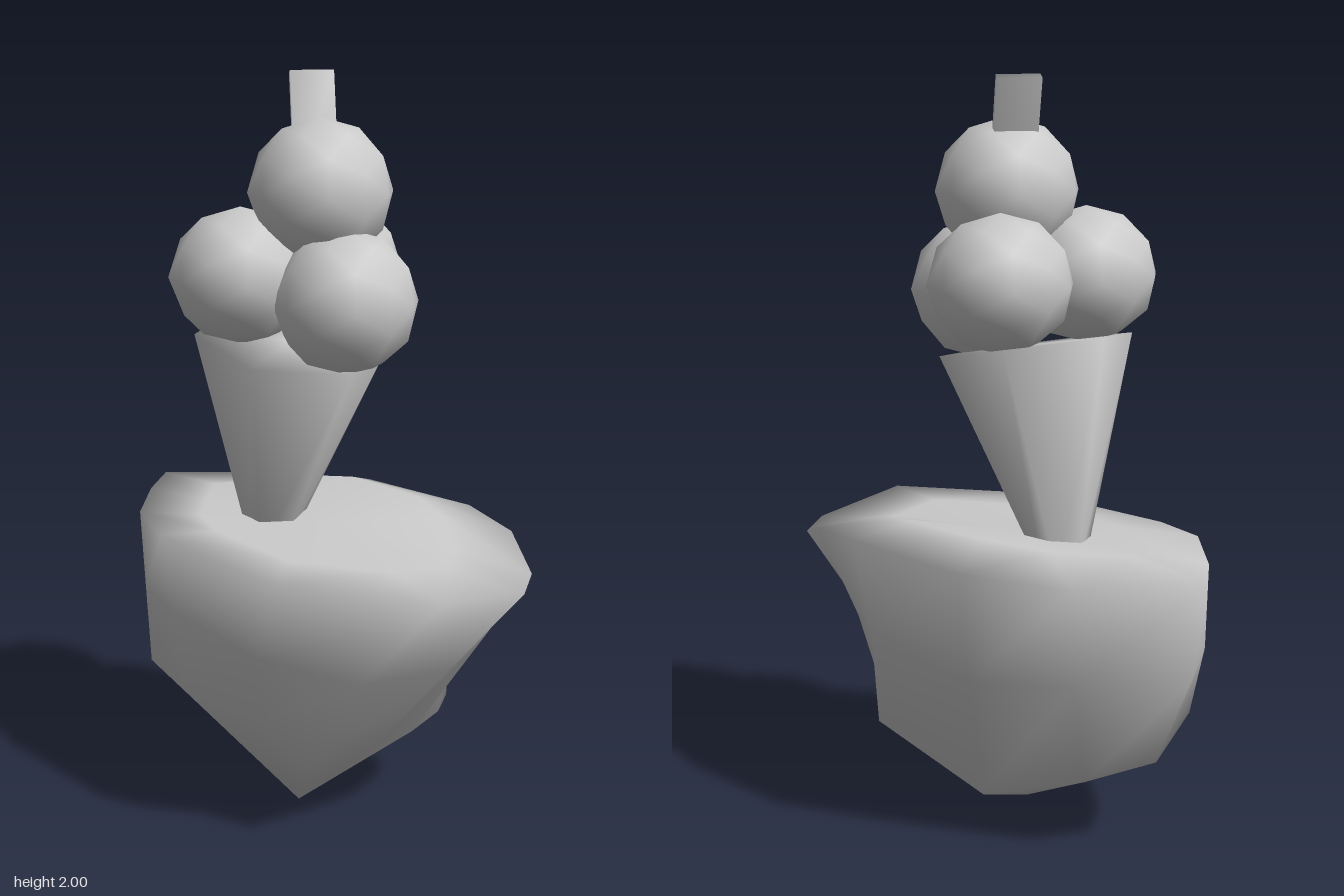
import * as THREE from 'three';
import { mergeVertices } from 'three/addons/utils/BufferGeometryUtils.js';

const material = new THREE.MeshStandardMaterial({ color: 0xcccccc });

function add(group, name, geometry, position = [0, 0, 0]) {
  const mesh = new THREE.Mesh(geometry, material);
  mesh.name = name;
  mesh.position.set(...position);
  group.add(mesh);
  return mesh;
}

// Weld corners so shading runs smoothly over every edge
function smooth(geometry) {
  geometry.deleteAttribute('normal');
  geometry.deleteAttribute('uv');
  const welded = mergeVertices(geometry);
  welded.computeVertexNormals();
  return welded;
}

// Smooth skin over a stack of equal rings, listed from top to bottom;
// the first and last rings are single points
function skin(rings) {
  const n = rings[0].length;
  const index = [];
  for (let k = 0; k < rings.length - 1; k++) {
    for (let i = 0; i < n; i++) {
      const j = (i + 1) % n;
      const a = k * n + i, b = k * n + j, c = a + n, d = b + n;
      if (k < rings.length - 2) index.push(a, d, c);
      else index.push(a, b, c);
      if (k > 0 && k < rings.length - 2) index.push(a, b, d);
    }
  }
  const geometry = new THREE.BufferGeometry();
  geometry.setAttribute('position', new THREE.Float32BufferAttribute(rings.flat(2), 3));
  geometry.setIndex(index);
  return smooth(geometry);
}

// Irregular rock: slightly domed top, flaring rim, tapering to a point below
function rockGeometry() {
  const rim = [
    [-0.41, 0.79, -0.59], [-0.075, 0.785, -0.57], [0.18, 0.795, -0.42], [0.41, 0.805, -0.1],
    [0.485, 0.79, 0.1], [0.5, 0.73, 0.28], [0.445, 0.73, 0.43], [0.205, 0.77, 0.585],
    [-0.19, 0.775, 0.4], [-0.45, 0.785, 0], [-0.5, 0.795, -0.19], [-0.46, 0.79, -0.43],
  ];
  const middle = [
    [-0.4, 0.5, -0.5], [-0.1, 0.5, -0.48], [0.14, 0.48, -0.33], [0.36, 0.53, -0.06],
    [0.38, 0.54, 0.08], [0.37, 0.53, 0.25], [0.27, 0.5, 0.35], [0.03, 0.5, 0.42],
    [-0.22, 0.55, 0.34], [-0.43, 0.58, 0.02], [-0.49, 0.58, -0.17], [-0.47, 0.55, -0.38],
  ];
  const low = [
    [-0.34, 0.25, -0.4], [-0.15, 0.21, -0.4], [0.09, 0.13, -0.25], [0.34, 0.27, -0.03],
    [0.3, 0.26, 0.06], [0.21, 0.25, 0.16], [0.1, 0.24, 0.22], [-0.1, 0.23, 0.31],
    [-0.22, 0.33, 0.24], [-0.39, 0.34, 0.03], [-0.48, 0.37, -0.15], [-0.45, 0.35, -0.32],
  ];
  const centre = [-0.03, 0.795, -0.03];
  const tip = [-0.085, 0, 0.02];
  const inner = rim.map((p) => {
    const [x, y, z] = p.map((v, i) => centre[i] + (v - centre[i]) * 0.65);
    return [x, y + 0.13 * Math.max(0, x - z), z];
  });
  return skin([rim.map(() => centre), inner, rim, middle, low, rim.map(() => tip)]);
}

export function createModel() {
  const model = new THREE.Group();
  model.name = 'iceCreamOnRock';

  add(model, 'rock', rockGeometry());

  // Leaning six-sided cone, its lower end sunk into the rock
  const bottom = new THREE.Vector3(-0.145, 0.7, -0.15);
  const top = new THREE.Vector3(-0.09, 1.3, -0.045);
  const axis = top.clone().sub(bottom);
  const coneGeometry = new THREE.CylinderGeometry(0.26, 0.055, axis.length(), 6, 1, false, Math.PI / 6);
  const cone = add(model, 'cone', smooth(coneGeometry));
  cone.position.copy(bottom).add(top).multiplyScalar(0.5);
  cone.quaternion.setFromUnitVectors(new THREE.Vector3(0, 1, 0), axis.normalize());

  // Three scoops with a fourth on top
  const scoop = smooth(new THREE.IcosahedronGeometry(0.19, 1));
  add(model, 'frontScoop', scoop, [0.03, 1.43, 0.115]);
  add(model, 'sideScoop', scoop, [-0.225, 1.48, -0.025]).scale.y = 0.95;
  add(model, 'backScoop', scoop, [0.03, 1.48, -0.17]).scale.y = 0.95;
  add(model, 'topScoop', scoop, [-0.02, 1.7, 0.005]);

  // Wafer leaning backwards
  const waferGeometry = smooth(new THREE.BoxGeometry(0.115, 0.3, 0.028));
  const wafer = add(model, 'wafer', waferGeometry, [-0.028, 1.854, -0.066]);
  wafer.rotation.x = -0.333;

  return model;
}
